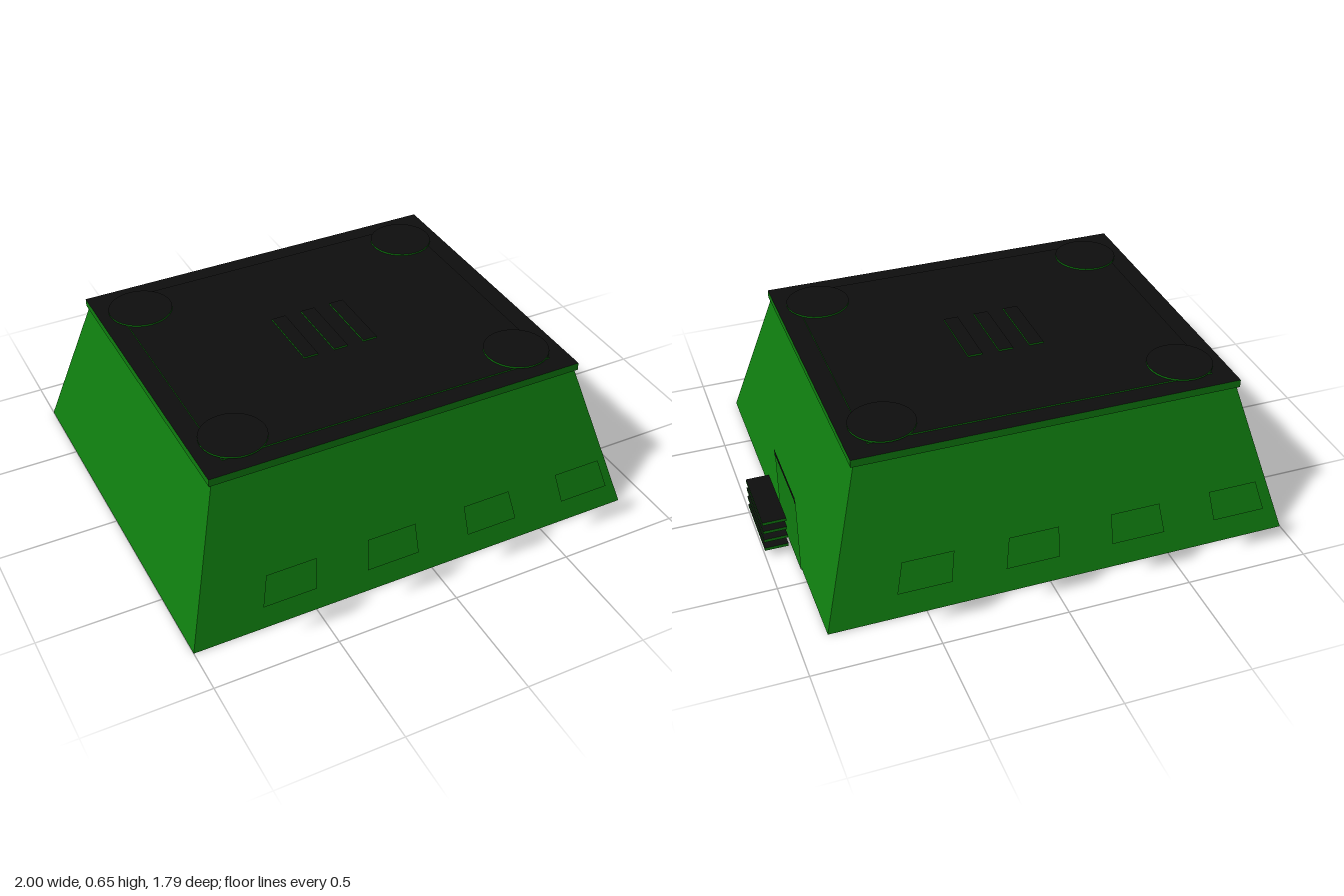
import * as THREE from 'three';

const green = new THREE.MeshStandardMaterial({ color: 0x0f7d0f, side: THREE.DoubleSide });
green.name = 'green';
const black = new THREE.MeshStandardMaterial({ color: 0x0e0e0e, side: THREE.DoubleSide });
black.name = 'black';

// Flat four-cornered panel, corners counter-clockwise from outside
function quad(name, material, a, b, c, d) {
  const g = new THREE.BufferGeometry();
  g.setAttribute('position', new THREE.Float32BufferAttribute([a, b, c, a, c, d].flat(), 3));
  g.computeVertexNormals();
  const m = new THREE.Mesh(g, material);
  m.name = name;
  return m;
}

// Horizontal plate with black faces and green rims
function plate(name, shape, y, height, x = 0, z = 0) {
  const g = new THREE.ExtrudeGeometry(shape, { depth: height, bevelEnabled: false, curveSegments: 16 });
  g.rotateX(-Math.PI / 2);
  const m = new THREE.Mesh(g, [black, green]);
  m.position.set(x, y, z);
  m.name = name;
  return m;
}

function rect(w, d) {
  return new THREE.Shape([
    new THREE.Vector2(-w / 2, -d / 2), new THREE.Vector2(w / 2, -d / 2),
    new THREE.Vector2(w / 2, d / 2), new THREE.Vector2(-w / 2, d / 2),
  ]);
}

export function createModel() {
  const model = new THREE.Group();
  model.name = 'bunker';
  const cx = -0.058; // centre line of the building

  // Sloping walls, open at the bottom
  const ring = (hx, y, hz) => [[-1, 1], [1, 1], [1, -1], [-1, -1]].map(([sx, sz]) => [cx + sx * hx, y, sz * hz]);
  const base = ring(0.942, 0, 0.813);
  const top = ring(0.768, 0.612, 0.643);
  ['frontWall', 'rightWall', 'backWall', 'leftWall'].forEach((name, i) => {
    const j = (i + 1) % 4;
    model.add(quad(name, green, base[i], base[j], top[j], top[i]));
  });

  // Roof slab and the raised deck on it
  model.add(plate('roofSlab', rect(1.56, 1.304), 0.61, 0.032, cx, 0));
  model.add(plate('roofDeck', rect(1.39, 1.15), 0.642, 0.006, cx, 0));

  // Round hatches at the roof corners, three bars in the middle
  const disc = new THREE.Shape().absarc(0, 0, 0.13, 0, Math.PI * 2);
  for (const x of [-0.665, 0.55])
    for (const z of [-0.47, 0.47]) model.add(plate('roofHatch', disc, 0.648, 0.007, x, z));
  for (const x of [-0.19, -0.06, 0.07])
    model.add(plate('roofBar', rect(0.06, 0.3), 0.648, 0.007, x, 0));

  // Tilted window panels standing off the front and back walls:
  // bottom left, bottom right, top left, top right
  const windows = [
    [-0.75, -0.535, -0.72, -0.52],
    [-0.325, -0.11, -0.31, -0.11],
    [0.105, 0.318, 0.1, 0.298],
    [0.53, 0.74, 0.51, 0.71],
  ];
  for (const [bl, br, tl, tr] of windows) {
    model.add(quad('frontWindow', green,
      [bl, 0.19, 0.89], [br, 0.19, 0.89], [tr, 0.307, 0.857], [tl, 0.307, 0.857]));
    const s = -0.104;
    model.add(quad('backWindow', green,
      [br + s, 0.19, -0.897], [bl + s, 0.19, -0.897], [tl + s, 0.307, -0.865], [tr + s, 0.307, -0.865]));
  }

  // Upright door with a black lintel on the right side
  const panel = (name, material, x, z0, z1, y0, y1) =>
    model.add(quad(name, material, [x, y0, z0], [x, y0, z1], [x, y1, z1], [x, y1, z0]));
  panel('door', green, 0.888, -0.09, -0.43, 0, 0.335);
  panel('doorLintel', black, 0.89, -0.09, -0.43, 0.332, 0.355);
  panel('lintelEnd', black, 0.89, -0.09, -0.105, 0.325, 0.332);
  panel('lintelEnd', black, 0.89, -0.415, -0.43, 0.325, 0.332);

  // Stack of step boards outside the door
  for (let i = 0; i < 4; i++)
    model.add(plate('step', rect(0.095, 0.3), 0.031 + i * 0.0415, 0.013, 0.9525, -0.15));

  return model;
}
